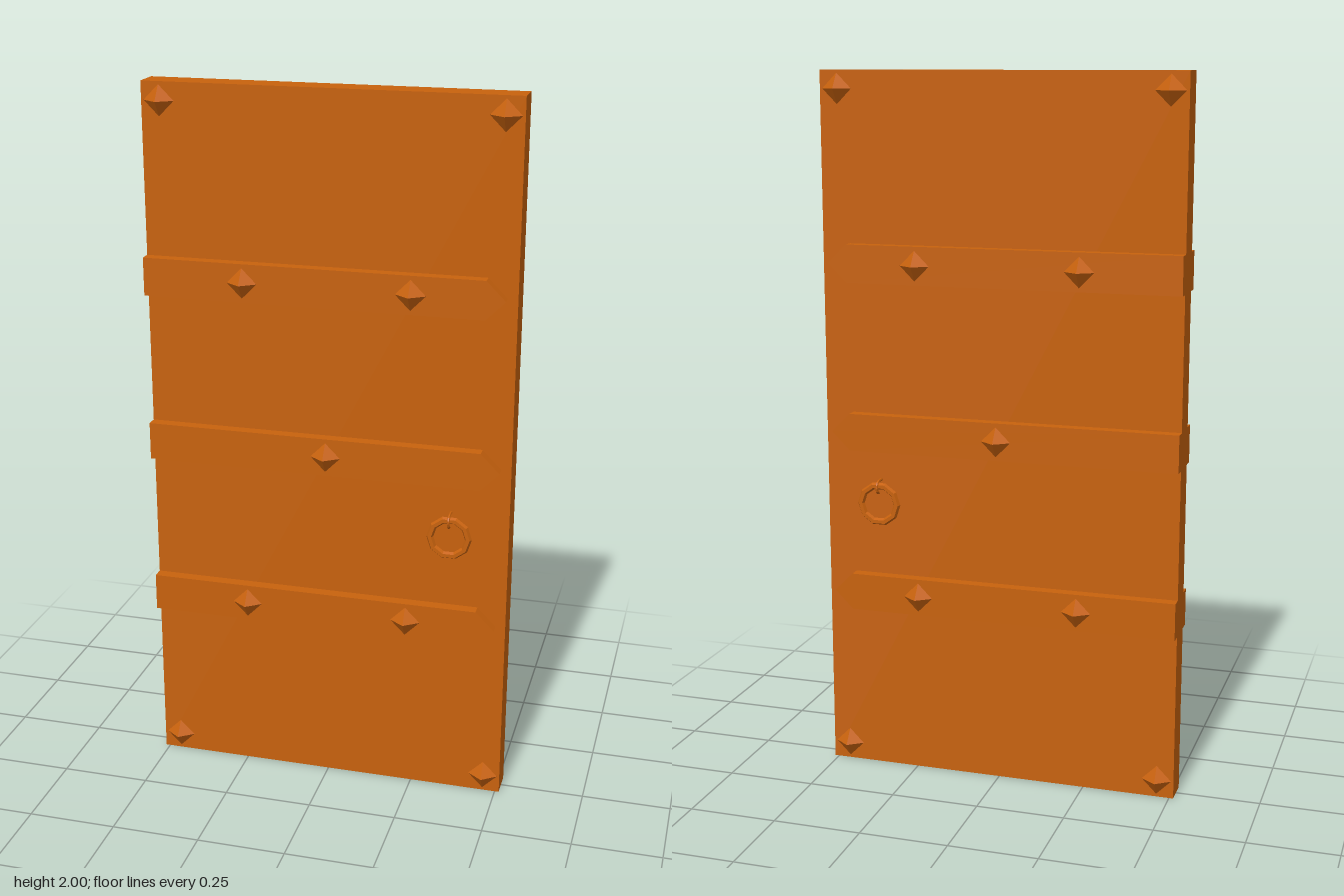
import * as THREE from 'three';

const material = new THREE.MeshStandardMaterial({ color: 0xc8620d, flatShading: true });
const WIDTH = 1.024, HALF = WIDTH / 2, FACE = 0.04, BAND_FACE = 0.073;

function add(parent, name, geometry, x = 0, y = 0, z = 0) {
  const mesh = new THREE.Mesh(geometry, material);
  mesh.name = name;
  mesh.position.set(x, y, z);
  parent.add(mesh);
  return mesh;
}

// Flat strap with a pointed end on the handle side
function bandGeometry() {
  const h = 0.053;
  const shape = new THREE.Shape([
    [-HALF, -h], [0.432, -h], [0.485, 0], [0.432, h], [-HALF, h],
  ].map(([x, y]) => new THREE.Vector2(x, y)));
  return new THREE.ExtrudeGeometry(shape, { depth: BAND_FACE - FACE, bevelEnabled: false });
}

// Small bent wire that holds the ring
function stapleGeometry() {
  const path = new THREE.CatmullRomCurve3([
    [0.861, -0.005], [0.861, 0.025], [0.855, 0.036], [0.843, 0.039], [0.831, 0.034], [0.827, 0.024],
  ].map(([y, z]) => new THREE.Vector3(0, y, z)));
  return new THREE.TubeGeometry(path, 10, 0.004, 6, false);
}

export function createModel() {
  const door = new THREE.Group();
  door.name = 'door';
  add(door, 'panel', new THREE.BoxGeometry(WIDTH, 2, FACE * 2), 0, 1, 0);

  const band = bandGeometry();
  const stud = new THREE.ConeGeometry(0.042, 0.031, 4).rotateX(Math.PI / 2).translate(0, 0, 0.0155);
  const ring = new THREE.TorusGeometry(0.054, 0.01, 6, 10);
  const staple = stapleGeometry();

  for (const side of [1, -1]) {
    const fittings = new THREE.Group();
    fittings.name = side > 0 ? 'frontFittings' : 'backFittings';
    door.add(fittings);
    const turn = side > 0 ? 0 : Math.PI; // symmetric parts are turned about x

    // Straps and their studs
    for (const [y, studs] of [[0.53, [-0.232, 0.232]], [1.0, [0]], [1.477, [-0.232, 0.232]]]) {
      add(fittings, 'band', band, 0, y, side * FACE).rotation.x = turn;
      for (const x of studs) add(fittings, 'bandStud', stud, x, y, side * BAND_FACE).rotation.x = turn;
    }
    // Corner studs
    for (const x of [-0.463, 0.463])
      for (const y of [0.05, 1.95])
        add(fittings, 'cornerStud', stud, x, y, side * FACE).rotation.x = turn;

    // Ring handle
    add(fittings, 'handleRing', ring, 0.35, 0.795, side * 0.062);
    add(fittings, 'handleStaple', staple, 0.35, 0, side * FACE).scale.z = side;
  }
  return door;
}
